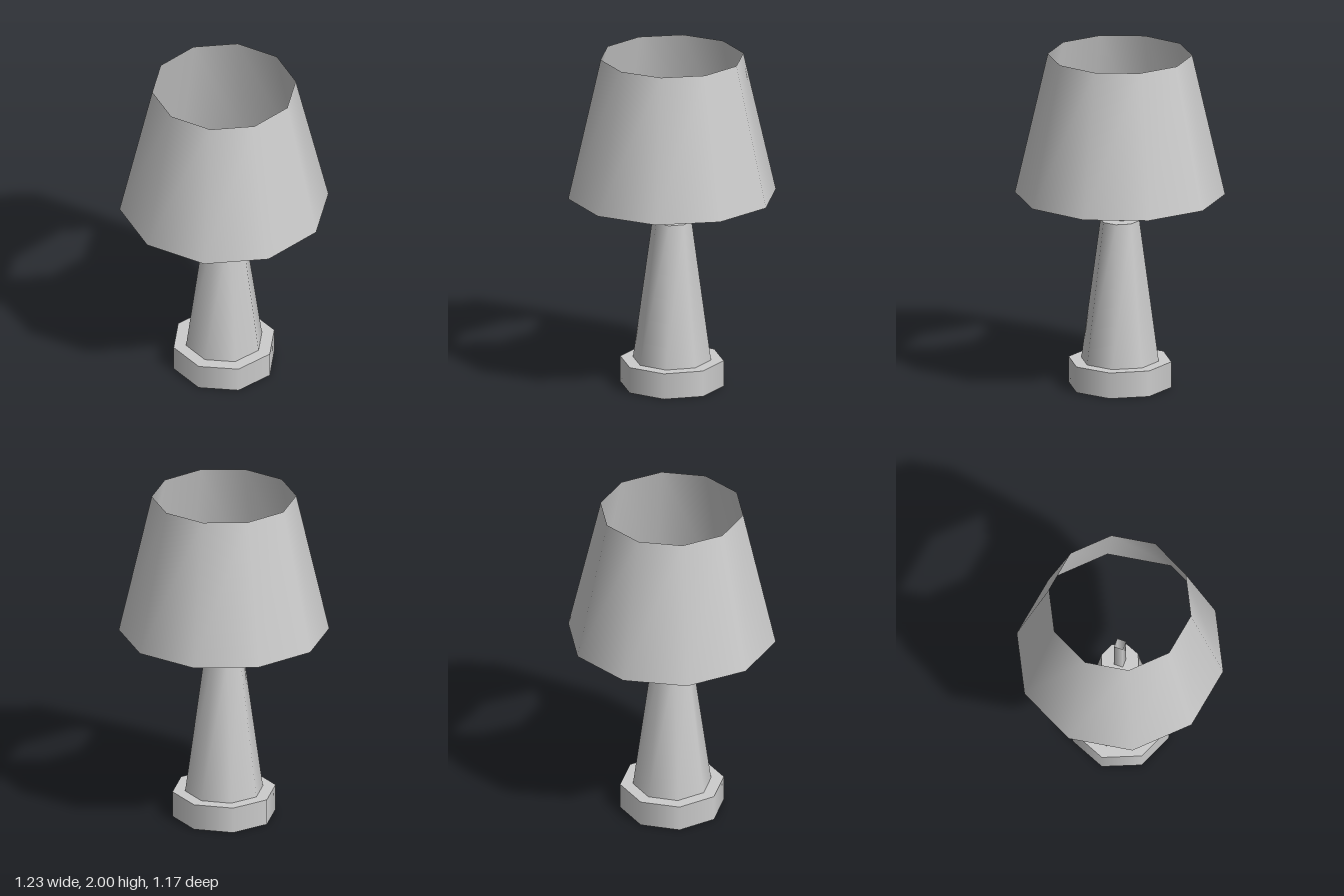
import * as THREE from 'three';
import { mergeVertices } from 'three/addons/utils/BufferGeometryUtils.js';

const grey = new THREE.MeshStandardMaterial({ color: 0xcccccc, side: THREE.DoubleSide });

// Smooth-sided open tube between two heights, with a corner on the x axis
function tube(name, sides, rBottom, rTop, y0, y1) {
  const geometry = new THREE.CylinderGeometry(rTop, rBottom, y1 - y0, sides, 1, true, Math.PI / 2);
  geometry.translate(0, (y0 + y1) / 2, 0);
  const mesh = new THREE.Mesh(geometry, grey);
  mesh.name = name;
  return mesh;
}

// Flat cover facing up
function cover(name, sides, radius, y) {
  const geometry = mergeVertices(new THREE.CircleGeometry(radius, sides));
  geometry.rotateX(-Math.PI / 2).translate(0, y, 0);
  const mesh = new THREE.Mesh(geometry, grey);
  mesh.name = name;
  return mesh;
}

export function createModel() {
  const lamp = new THREE.Group();
  lamp.name = 'tableLamp';

  // Foot, hollow underneath
  lamp.add(tube('footWall', 8, 0.305, 0.305, 0, 0.155));
  lamp.add(cover('footTop', 8, 0.305, 0.155));

  // Tapered body
  lamp.add(tube('bodyWall', 8, 0.23, 0.116, 0.155, 1));
  lamp.add(cover('bodyTop', 8, 0.116, 1));

  // Thin four-sided rod rising into the shade
  lamp.add(tube('rod', 4, 0.038, 0.038, 1, 1.3));

  // Shade, open at both ends
  lamp.add(tube('shade', 10, 0.613, 0.421, 1.16, 2));

  return lamp;
}
